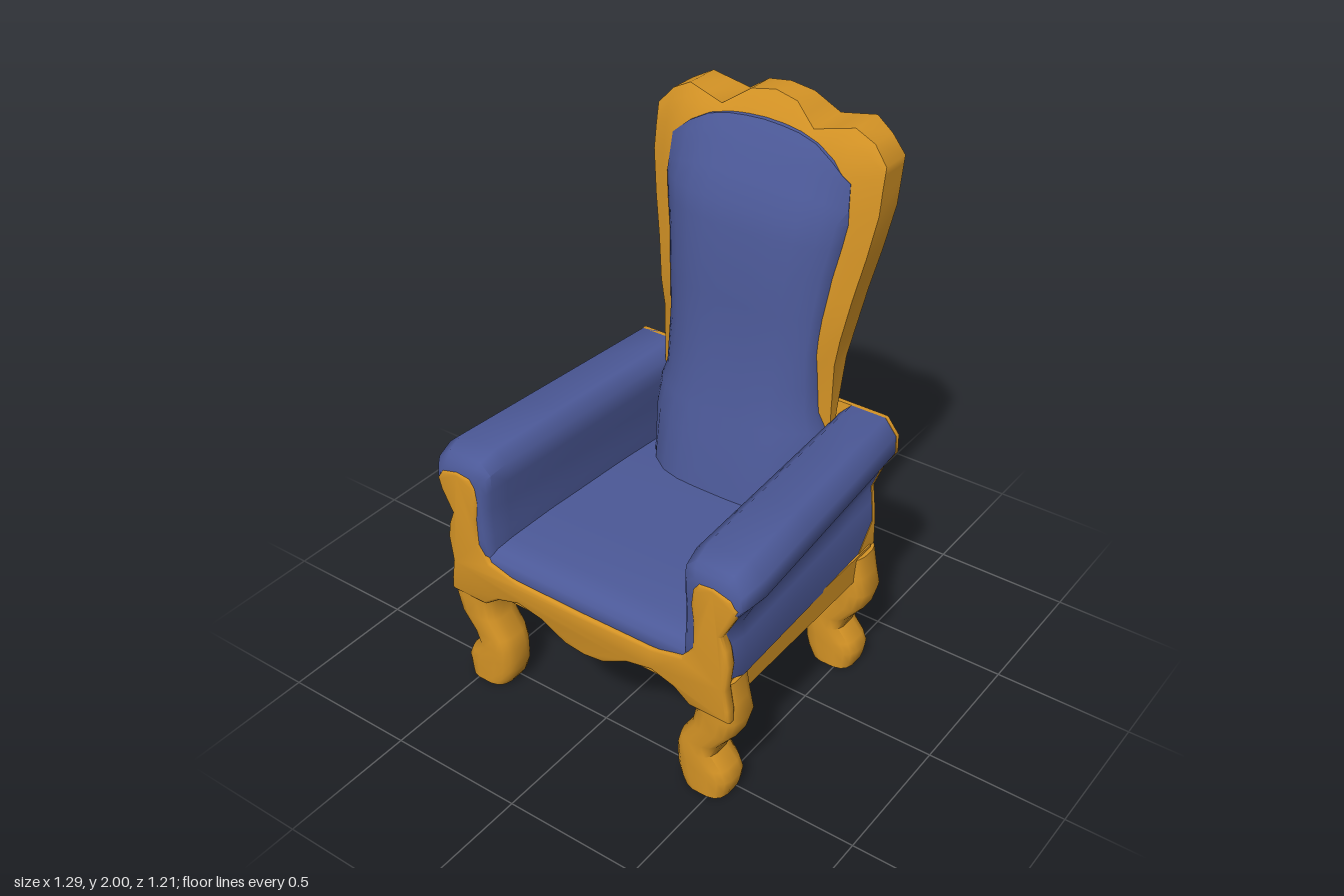
import * as THREE from 'three';
import { toCreasedNormals } from 'three/addons/utils/BufferGeometryUtils.js';

const V = (x, y, z) => new THREE.Vector3(x, y, z);

// piecewise linear lookup in [[key, value], ...]
function pw(table, k) {
  if (k <= table[0][0]) return table[0][1];
  for (let i = 1; i < table.length; i++) {
    const [a, va] = table[i - 1], [b, vb] = table[i];
    if (k <= b) return va + (vb - va) * (k - a) / (b - a);
  }
  return table[table.length - 1][1];
}

// closed solid through rings of equal length, capped with strips, oriented outward
function loft(rings, crease = 0.9) {
  const n = rings[0].length, pts = rings.flat(), idx = [];
  for (let r = 0; r + 1 < rings.length; r++) {
    for (let i = 0; i < n; i++) {
      const a = r * n + i, b = r * n + (i + 1) % n;
      idx.push(a, b, b + n, a, b + n, a + n);
    }
  }
  const top = (rings.length - 1) * n;
  for (let i = 0; i < n / 2 - 1; i++) {
    const q = [i, i + 1, n - 2 - i, n - 1 - i];
    idx.push(q[0], q[2], q[1], q[0], q[3], q[2]);
    idx.push(top + q[0], top + q[1], top + q[2], top + q[0], top + q[2], top + q[3]);
  }
  let volume = 0;
  for (let i = 0; i < idx.length; i += 3) {
    volume += pts[idx[i]].dot(V(0, 0, 0).crossVectors(pts[idx[i + 1]], pts[idx[i + 2]]));
  }
  if (volume < 0) idx.reverse();
  const geo = new THREE.BufferGeometry().setFromPoints(pts);
  geo.setIndex(idx);
  return toCreasedNormals(geo, crease);
}

// upright slab: fn(row, u, isFront) gives a point, u runs -1..1 across
function slab(halfUs, rows, fn, crease) {
  const us = [...halfUs.slice(1).reverse().map(u => -u), ...halfUs];
  return loft(rows.map(row => [
    ...us.map(u => fn(row, u, true)),
    ...us.slice().reverse().map(u => fn(row, u, false)),
  ]), crease);
}

// mirrored outline extruded from z0 to z1 with a small bevel
function plate(half, z0, z1, bevel) {
  const left = half.map(([x, y]) => new THREE.Vector2(x, y));
  const right = half.filter(p => p[0] > 0).reverse().map(([x, y]) => new THREE.Vector2(-x, y));
  const geo = new THREE.ExtrudeGeometry(new THREE.Shape([...left, ...right]), {
    depth: z1 - z0 - 2 * bevel, bevelEnabled: true, bevelThickness: bevel,
    bevelSize: bevel, bevelOffset: -bevel, bevelSegments: 2,
  });
  geo.translate(0, 0, z0 + bevel);
  return toCreasedNormals(geo, 0.9);
}

// depth curves of the backrest and of the rear end of the arms, by height
const frameFront = [[0.9, -0.28], [1.25, -0.285], [1.8, -0.37], [1.87, -0.385], [2, -0.47]];
const frameBack = [[0.41, -0.34], [0.58, -0.34], [0.8, -0.4], [0.96, -0.43], [1.15, -0.47], [1.86, -0.608], [2, -0.56]];
const armEnd = [[0.5, -0.23], [0.53, -0.3], [0.6, -0.33], [0.8, -0.393], [0.96, -0.425]];

// the arms narrow towards the rear
const taper = (z, y) => 1 - Math.max(0, 0.5 - z) / 0.93 * pw([[0.5, 0.05], [0.8, 0.115]], y);

const armOuter = [[0.57, 0.5], [0.58, 0.6], [0.57, 0.66], [0.56, 0.71], [0.6, 0.79], [0.645, 0.85], [0.637, 0.91], [0.58, 0.96]];
const armInner = [[0.43, 0.96], [0.385, 0.92], [0.385, 0.85], [0.39, 0.77], [0.39, 0.71], [0.388, 0.66], [0.385, 0.6], [0.385, 0.5]];

function armGeometry(side) {
  const stations = [[0.6, 0.3], [0.588, 0.18], [0.57, 0.1], [0.5, 0], [0.2, 0], [-0.1, 0], [null, 0]];
  return loft(stations.map(([z, inset]) => [...armOuter, ...armInner].map(([x, y]) => {
    const zz = z === null ? pw(armEnd, y) : z;
    const px = 0.5 + (x - 0.5) * (1 - inset), py = 0.75 + (y - 0.75) * (1 - inset);
    return V(side * px * taper(zz, y), py, zz);
  })));
}

function legGeometry(side, zc) {
  const rows = [[0, 0.39, 0.55], [0.03, 0.37, 0.56], [0.07, 0.357, 0.567], [0.11, 0.355, 0.55],
    [0.16, 0.358, 0.505], [0.21, 0.37, 0.525], [0.28, 0.415, 0.58], [0.35, 0.43, 0.6],
    [0.42, 0.41, 0.585], [0.5, 0.4, 0.57]];
  const round = v => Math.sign(v) * Math.abs(v) ** 0.65;
  return loft(rows.map(([y, x0, x1]) => Array.from({ length: 16 }, (_, i) => {
    const a = (i + 0.5) / 16 * Math.PI * 2;
    return V(side * ((x0 + x1) / 2 + (x1 - x0) / 2 * round(Math.cos(a))), y, zc + 0.078 * round(Math.sin(a)));
  })));
}

export function createModel() {
  const gold = new THREE.MeshStandardMaterial({ color: 0xd49325 });
  gold.name = 'golden wood';
  const blue = new THREE.MeshStandardMaterial({ color: 0x4c5998 });
  blue.name = 'blue upholstery';
  const group = new THREE.Group();
  group.name = 'armchair';
  const add = (name, geo, mat) => {
    const mesh = new THREE.Mesh(geo, mat);
    mesh.name = name;
    group.add(mesh);
    return mesh;
  };

  // tall backrest frame with a scalloped crest
  const crest = [[0, 2], [0.2, 1.985], [0.4, 1.925], [0.72, 1.957], [0.88, 1.92], [1, 1.86]];
  const frameWidth = [[0.96, 0.35], [1.15, 0.352], [1.4, 0.392], [1.67, 0.445]];
  const rise = row => u => row <= 1.7 ? row : 1.7 + (row - 1.7) / 0.3 * (pw(crest, Math.abs(u)) - 1.7);
  add('backFrame', slab([0, 0.1, 0.2, 0.3, 0.4, 0.56, 0.72, 0.88, 1],
    [0.6, 0.8, 0.96, 1.15, 1.25, 1.4, 1.55, 1.7, 1.85, 1.95, 2], (row, u, front) => {
      const y = rise(row)(u), inset = 0.06 * Math.max(0, (Math.abs(u) - 0.72) / 0.28);
      const z = front ? pw(frameFront, y) - inset * 0.8 : pw(frameBack, y) + inset;
      return V(u * pw(frameWidth, y), y, z);
    }), gold);

  // padded back cushion, bulging forward
  const cushionTop = [[0, 1.92], [0.2, 1.917], [0.4, 1.91], [0.6, 1.893], [0.8, 1.855], [1, 1.795]];
  const cushionWidth = [[0.6, 0.36], [0.85, 0.355], [0.96, 0.312], [1.18, 0.298], [1.4, 0.314], [1.65, 0.358], [1.8, 0.348]];
  const cushionFront = [[0.55, -0.1], [0.62, -0.11], [0.96, -0.185], [1.17, -0.22], [1.47, -0.24], [1.66, -0.27], [1.85, -0.36], [1.92, -0.402]];
  add('backCushion', slab([0, 0.2, 0.4, 0.6, 0.8, 0.92, 1],
    [0.55, 0.62, 0.8, 0.9, 0.96, 1.06, 1.18, 1.32, 1.47, 1.58, 1.66, 1.75, 1.83, 1.88, 1.92], (row, u, front) => {
      const lid = pw(cushionTop, Math.abs(u));
      const y = row <= 1.66 ? row : 1.66 + (row - 1.66) / 0.26 * (lid - 1.66);
      const base = pw(frameFront, y) - 0.01;
      const z = front ? base + (pw(cushionFront, y) - base) * (1 - u ** 4) : base - 0.03;
      return V(u * pw(cushionWidth, y), y, z);
    }), blue);

  // lower back panel closing the rear of the arms and seat
  add('lowerBackPanel', slab([0, 0.3, 0.6, 0.85, 0.95, 1], [[0.57, 0.41], ...armOuter], ([x, y], u, front) => {
    const end = pw(armEnd, y);
    const round = Math.abs(u) === 1 ? 0.012 : 0;
    const back = Math.min(pw(frameBack, y) + round, end - 0.004);
    return V(u * (x * taper(end, y) + 0.003), y, front ? end + 0.012 : back);
  }), gold);

  // seat base and seat cushion
  const base = add('seatBase', new THREE.BoxGeometry(1.11, 0.1, 0.88), gold);
  base.position.set(0, 0.46, 0.14);
  const seatShape = new THREE.Shape([[-0.58, 0.5], [-0.598, 0.54], [-0.59, 0.575], [-0.565, 0.6], [-0.5, 0.615],
    [-0.3, 0.618], [0.1, 0.61], [0.28, 0.6], [0.28, 0.5]].map(([z, y]) => new THREE.Vector2(z, y)));
  const seat = new THREE.ExtrudeGeometry(seatShape, { depth: 0.88, bevelEnabled: false });
  seat.translate(0, 0, -0.44).rotateY(Math.PI / 2);
  add('seatCushion', toCreasedNormals(seat, 0.9), blue);

  // front frame: scalloped apron running up into the arm posts
  const scallop = [[0, 0.36], [0.08, 0.37], [0.13, 0.395], [0.18, 0.422], [0.28, 0.442], [0.37, 0.415], [0.43, 0.37]];
  add('frontFrame', plate([...scallop, [0.585, 0.37], [0.583, 0.42], [0.57, 0.5], [0.582, 0.6], [0.572, 0.66], [0.553, 0.71],
    [0.595, 0.79], [0.607, 0.835], [0.585, 0.87], [0.52, 0.888], [0.465, 0.882], [0.443, 0.85], [0.436, 0.79],
    [0.445, 0.72], [0.443, 0.62], [0.4, 0.56], [0.28, 0.535], [0, 0.53]], 0.565, 0.607, 0.012), gold);

  // deep scalloped aprons between the legs
  const apron = [...scallop, [0.5, 0.4], [0.5, 0.5], [0, 0.5]];
  add('frontApron', plate(apron, 0.45, 0.6, 0.01), gold);
  add('rearApron', plate(apron, -0.342, -0.19, 0.01), gold);

  // arms and curved legs
  for (const [side, label] of [[1, 'left'], [-1, 'right']]) {
    add(label + 'Arm', armGeometry(side), blue);
    add(label + 'FrontLeg', legGeometry(side, 0.523), gold);
    add(label + 'RearLeg', legGeometry(side, -0.264), gold);
  }
  return group;
}
